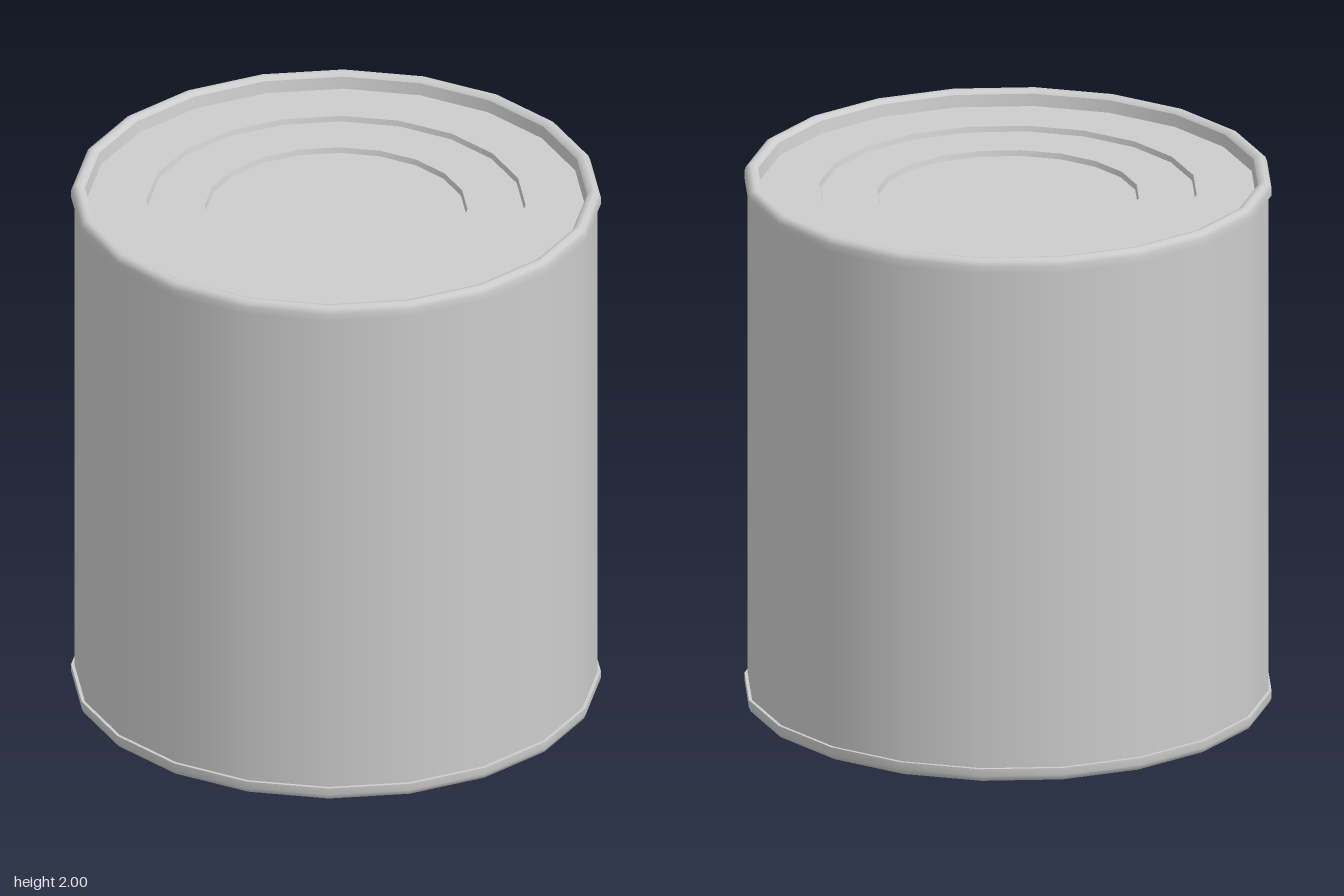
import * as THREE from 'three';

const SIDES = 20;

export function createModel() {
  const can = new THREE.Group();
  can.name = 'tinCan';
  const tin = new THREE.MeshStandardMaterial({ color: 0xcccccc });
  tin.name = 'tin';

  // Each profile is its own lathe, so the edges between profiles stay sharp.
  const lathe = (name, points, parent) => {
    const profile = points.map(([r, y]) => new THREE.Vector2(r, y));
    const mesh = new THREE.Mesh(new THREE.LatheGeometry(profile, SIDES), tin);
    mesh.name = name;
    parent.add(mesh);
  };

  // Straight wall
  lathe('body', [[0.945, 0.04], [0.945, 1.96]], can);

  // Profiles of the upper end, running from the outside to the centre
  const endParts = {
    rimUnderside: [[0.94, 1.948], [0.957, 1.948]],
    rim: [[0.957, 1.948], [0.957, 1.975], [0.95, 1.992], [0.935, 2], [0.918, 1.997], [0.907, 1.985]],
    rimInnerWall: [[0.907, 1.985], [0.9, 1.94]],
    outerPanel: [[0.9, 1.94], [0.685, 1.94]],
    outerStep: [[0.685, 1.94], [0.68, 1.92]],
    middlePanel: [[0.68, 1.92], [0.475, 1.92]],
    innerStep: [[0.475, 1.92], [0.47, 1.9]],
    centrePanel: [[0.47, 1.9], [0, 1.9]],
  };

  // The lower end is the upper one mirrored, with the point order reversed
  for (const end of ['lid', 'base']) {
    const group = new THREE.Group();
    group.name = end;
    for (const [name, points] of Object.entries(endParts)) {
      const profile = end === 'lid' ? points : points.map(([r, y]) => [r, 2 - y]).reverse();
      lathe(name, profile, group);
    }
    can.add(group);
  }
  return can;
}
